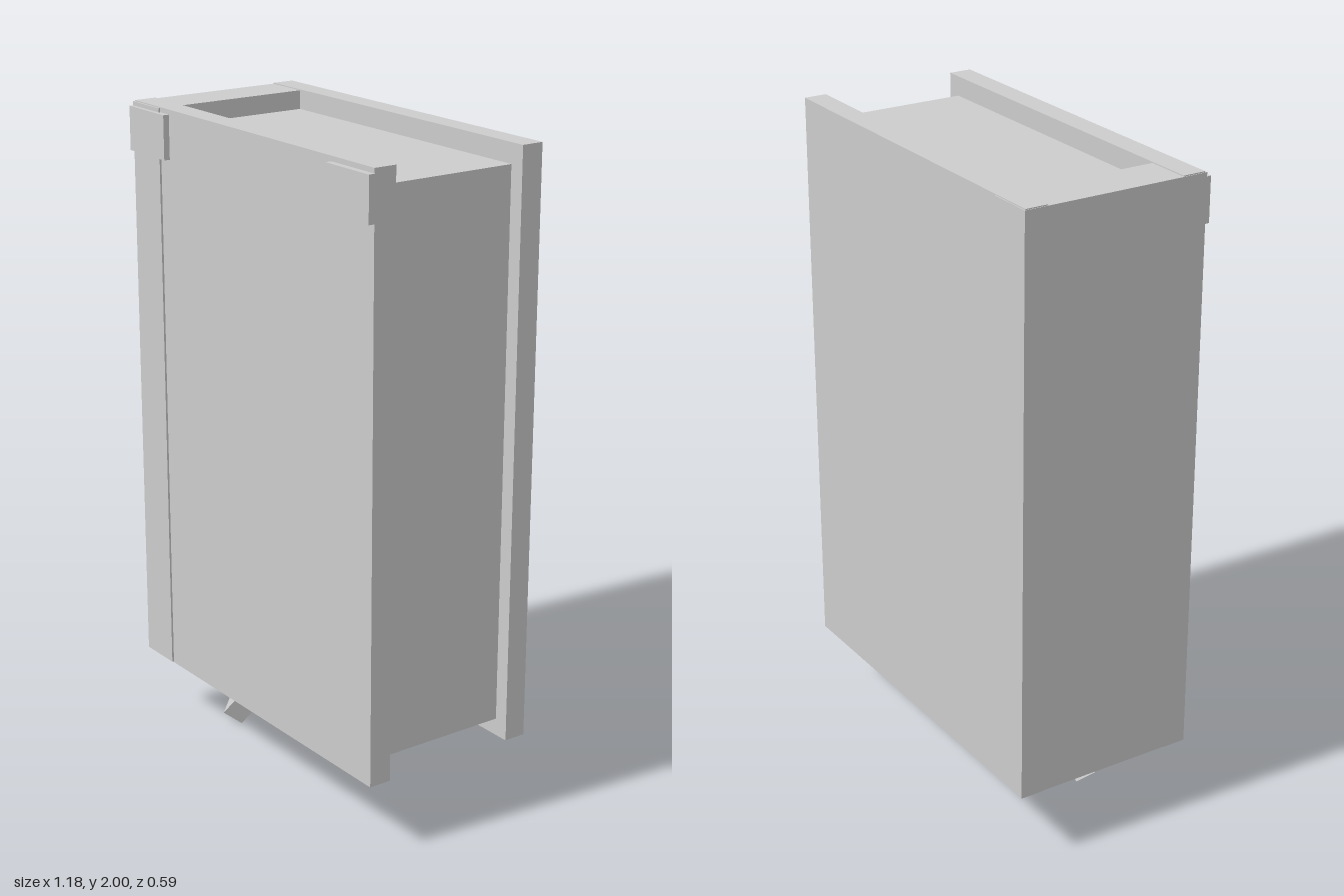
import * as THREE from 'three';

export function createModel() {
  const group = new THREE.Group();
  const grey = new THREE.MeshStandardMaterial({ color: 0xcccccc });
  grey.name = 'plain grey';

  // Box given by its limits on each axis
  function block(name, [x0, x1], [y0, y1], [z0, z1]) {
    const mesh = new THREE.Mesh(new THREE.BoxGeometry(x1 - x0, y1 - y0, z1 - z0), grey);
    mesh.position.set((x0 + x1) / 2, (y0 + y1) / 2, (z0 + z1) / 2);
    mesh.name = name;
    group.add(mesh);
  }

  // Covers, spine and the recessed block of pages
  block('frontCover', [-0.59, 0.59], [0.222, 2], [0.205, 0.275]);
  block('backCover', [-0.59, 0.59], [0.222, 2], [-0.294, -0.225]);
  block('spine', [-0.592, -0.45], [0.225, 1.997], [-0.297, 0.281]);
  block('pages', [-0.46, 0.544], [0.275, 1.94], [-0.226, 0.206]);

  // Raised corner guards at the top of the front cover
  block('spineCornerGuard', [-0.592, -0.403], [1.852, 1.985], [0.27, 0.294]);
  block('outerCornerGuard', [0.401, 0.591], [1.852, 1.985], [0.27, 0.294]);

  // Bent square bookmark hanging from the pages
  const bend = new THREE.Vector3(-0.285, 0.128, 0.085);
  function bookmarkPiece(name, from, to) {
    const dir = to.clone().sub(from);
    const geometry = new THREE.CylinderGeometry(0.048, 0.048, dir.length(), 4).toNonIndexed();
    geometry.computeVertexNormals();
    const mesh = new THREE.Mesh(geometry, grey);
    mesh.position.copy(from).add(to).multiplyScalar(0.5);
    mesh.quaternion.setFromUnitVectors(new THREE.Vector3(0, 1, 0), dir.normalize());
    mesh.name = name;
    group.add(mesh);
  }
  bookmarkPiece('bookmarkUpper', bend, new THREE.Vector3(-0.285, 0.29, 0.06));
  bookmarkPiece('bookmarkLower', new THREE.Vector3(-0.365, 0.036, 0.098), bend);

  return group;
}
